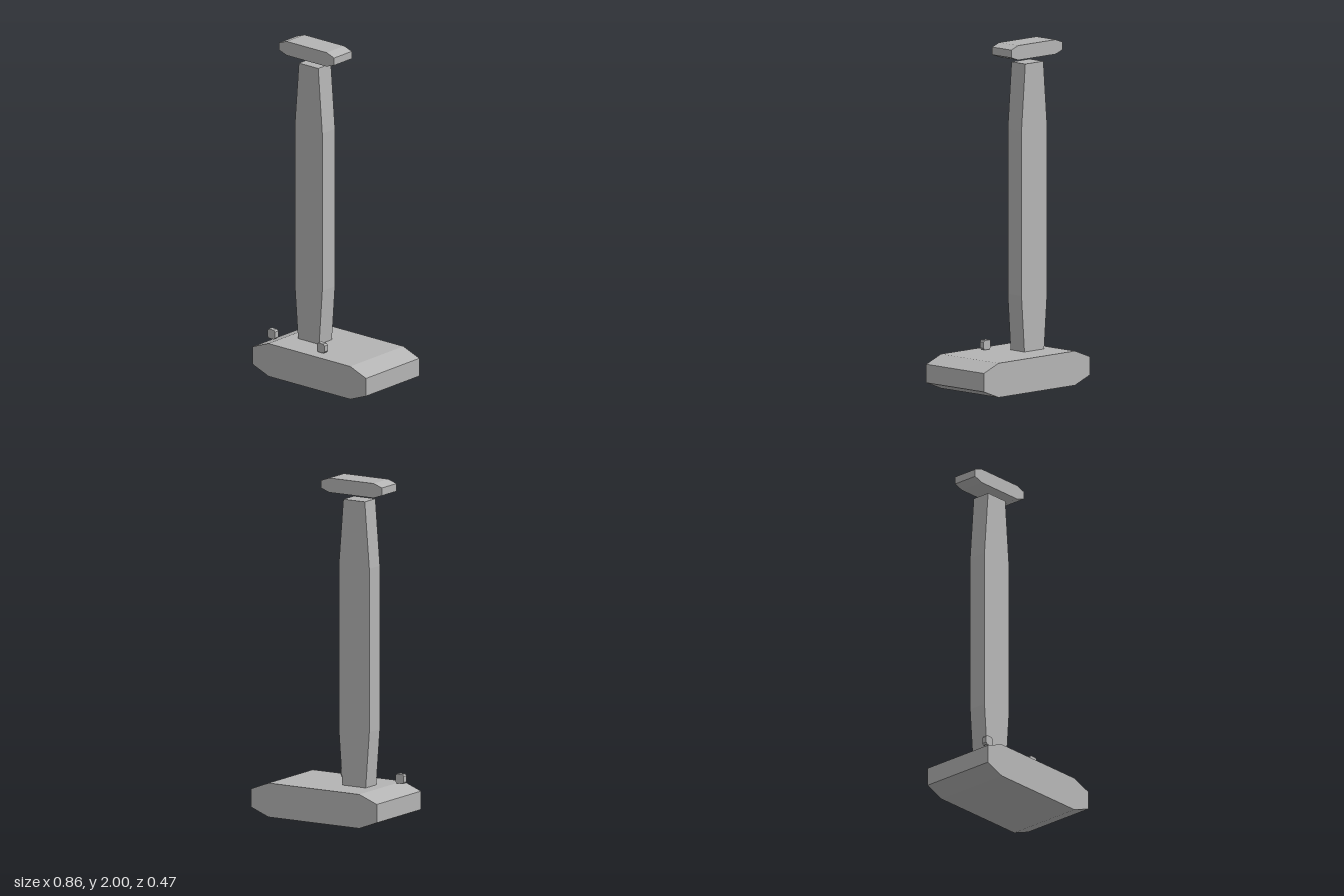
import * as THREE from 'three';

export function createModel() {
  const group = new THREE.Group();
  const grey = new THREE.MeshStandardMaterial({ color: 0xb4b4b4 });
  grey.name = 'grey';

  // Extrudes a front outline between two depths
  function slab(name, points, zBack, zFront) {
    const shape = new THREE.Shape(points.map(([x, y]) => new THREE.Vector2(x, y)));
    const geometry = new THREE.ExtrudeGeometry(shape, { depth: zFront - zBack, bevelEnabled: false });
    geometry.translate(0, 0, zBack);
    const mesh = new THREE.Mesh(geometry, grey);
    mesh.name = name;
    group.add(mesh);
  }

  // Rectangle with its four corners cut by cx across and cy up
  const cutRect = (x0, x1, y0, y1, cx, cy) => [
    [x0 + cx, y0], [x1 - cx, y0], [x1, y0 + cy], [x1, y1 - cy],
    [x1 - cx, y1], [x0 + cx, y1], [x0, y1 - cy], [x0, y0 + cy],
  ];

  // Wide base and the floating cap
  slab('base', cutRect(-0.432, 0.43, 0, 0.2, 0.12, 0.046), -0.235, 0.235);
  slab('cap', cutRect(-0.367, 0.051, 1.915, 2, 0.057, 0.02), -0.079, 0.077);

  // Post, narrowing towards both ends
  slab('post', [
    [-0.24, 0.2], [-0.08, 0.2], [-0.056, 0.53], [-0.056, 1.49],
    [-0.087, 1.88], [-0.234, 1.88], [-0.265, 1.49], [-0.265, 0.53],
  ], -0.055, 0.057);

  // Two small knobs hovering over the front of the base
  for (const [name, x] of [['rightKnob', -0.347], ['leftKnob', 0.029]]) {
    slab(name, cutRect(x - 0.028, x + 0.028, 0.204, 0.26, 0.008, 0.01), 0.14, 0.17);
  }

  return group;
}
